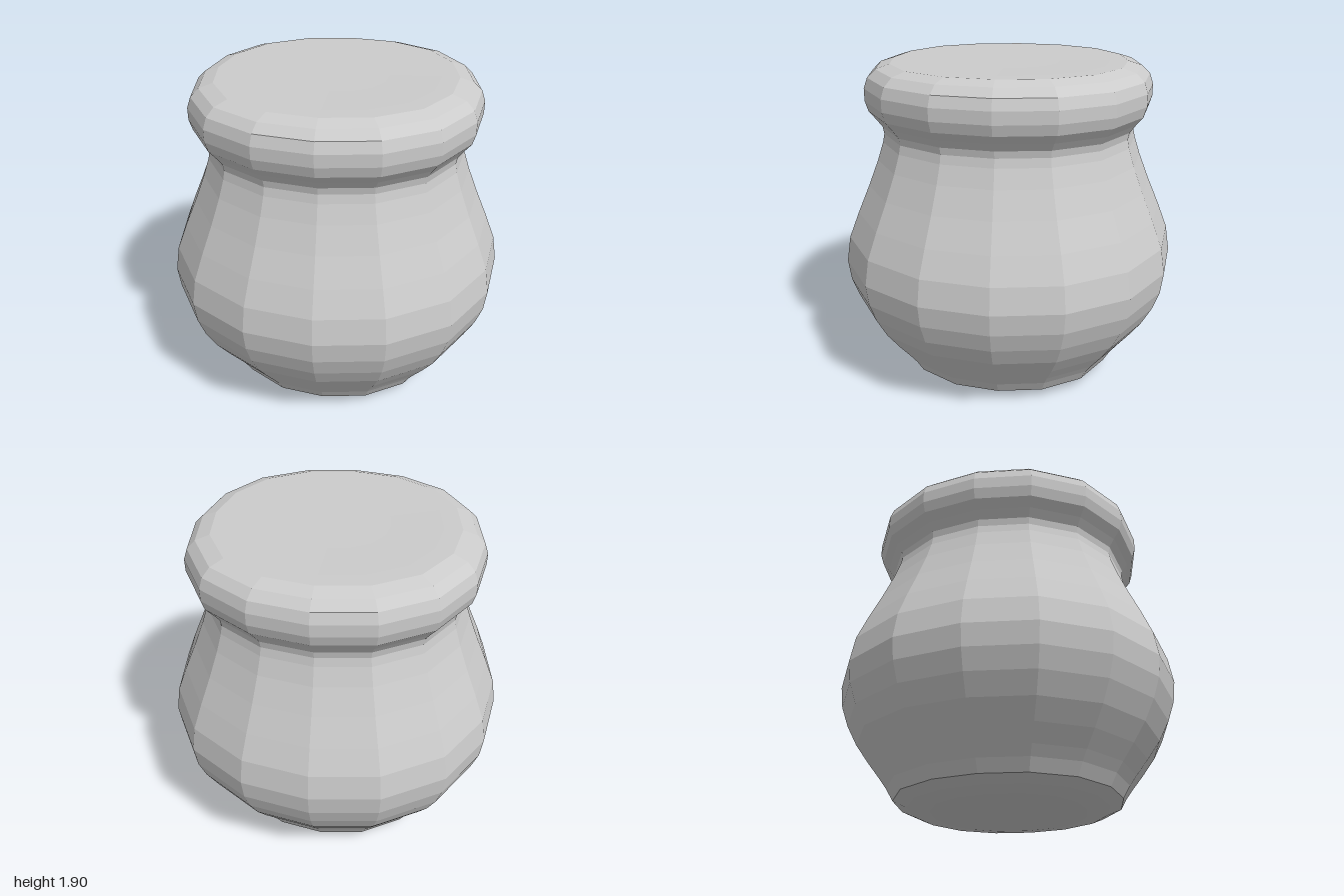
import * as THREE from 'three';

export function createModel() {
  const group = new THREE.Group();

  // Half outline from the base centre, over belly, neck and rim, to the lid centre: [radius, height]
  const outline = [
    [0, 0], [0.25, 0.003], [0.45, 0.014], [0.58, 0.03], [0.66, 0.065], [0.7, 0.135],
    [0.74, 0.19], [0.81, 0.28], [0.885, 0.385], [0.945, 0.5], [0.985, 0.615], [1, 0.74],
    [0.975, 0.89], [0.915, 1.04], [0.845, 1.2], [0.785, 1.35], [0.75, 1.455], [0.74, 1.505],
    [0.747, 1.545], [0.78, 1.59], [0.82, 1.64], [0.838, 1.7], [0.838, 1.77], [0.817, 1.83],
    [0.77, 1.875], [0.69, 1.9], [0.59, 1.9], [0.3, 1.896], [0, 1.895],
  ].map(([r, y]) => new THREE.Vector2(r, y));

  const geometry = new THREE.LatheGeometry(outline, 16);

  // Swell the diagonals a little, so the rings are slightly squarish
  const pos = geometry.attributes.position;
  for (let i = 0; i < pos.count; i++) {
    const x = pos.getX(i), z = pos.getZ(i);
    const swell = 1 + 0.031 * Math.sin(2 * Math.atan2(z, x)) ** 2;
    pos.setX(i, x * swell);
    pos.setZ(i, z * swell);
  }
  geometry.computeVertexNormals();

  const jar = new THREE.Mesh(
    geometry,
    new THREE.MeshStandardMaterial({ color: 0xcccccc, flatShading: true }),
  );
  jar.name = 'jar';
  group.add(jar);
  return group;
}
